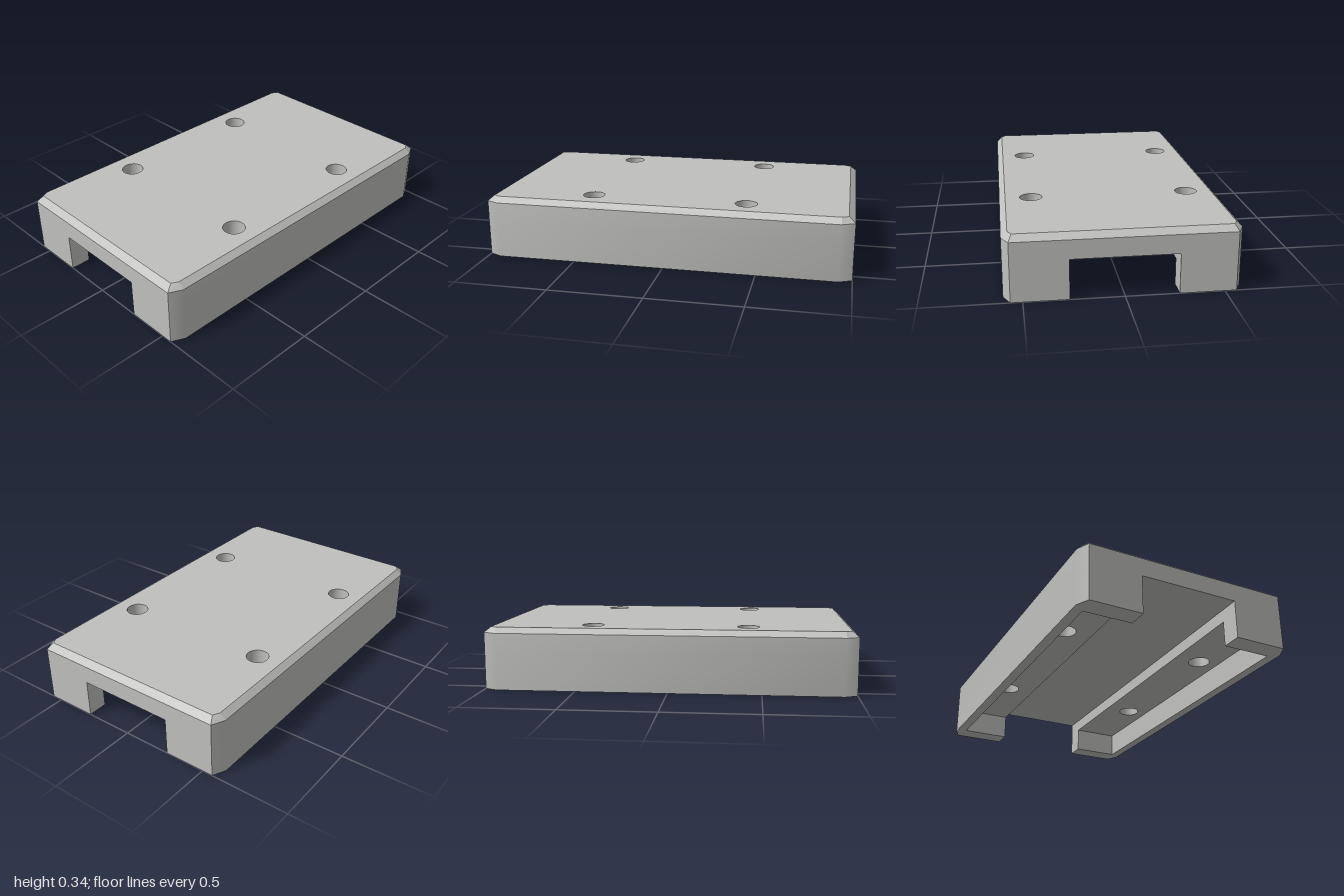
import * as THREE from 'three';
import { mergeGeometries, toCreasedNormals } from 'three/addons/utils/BufferGeometryUtils.js';

// Heights of the main levels
const POCKET = 0.14, CHANNEL = 0.21, SHOULDER = 0.31, TOP = 0.34;
const HOLE_X = 0.425, HOLE_Z = 0.425, HOLE_R = 0.06;

// Vertical (or sloped) wall along a path of [x, z] points; it faces path direction x up
function wall(path, y0, y1, upper = path) {
  const pos = [];
  for (let i = 0; i < path.length - 1; i++) {
    const a = [path[i][0], y0, path[i][1]], b = [path[i + 1][0], y0, path[i + 1][1]];
    const c = [upper[i + 1][0], y1, upper[i + 1][1]], d = [upper[i][0], y1, upper[i][1]];
    pos.push(...a, ...b, ...c, ...a, ...c, ...d);
  }
  const g = new THREE.BufferGeometry();
  g.setAttribute('position', new THREE.Float32BufferAttribute(pos, 3));
  g.computeVertexNormals();
  return g;
}

// Horizontal face from [x, z] points, facing up or down
function level(outline, y, up, holes = []) {
  const s = up ? -1 : 1;
  const pts = (list) => list.map(([x, z]) => new THREE.Vector2(x, s * z));
  const shape = new THREE.Shape(pts(outline));
  holes.forEach((h) => shape.holes.push(new THREE.Path(pts(h))));
  const g = new THREE.ShapeGeometry(shape);
  g.rotateX(s * Math.PI / 2);
  g.translate(0, y, 0);
  return g;
}

function circle(cx, cz) {
  const pts = [];
  for (let i = 0; i < 32; i++) {
    const t = (i / 32) * Math.PI * 2;
    pts.push([cx + HOLE_R * Math.cos(t), cz + HOLE_R * Math.sin(t)]);
  }
  return pts;
}

const close = (p) => [...p, p[0]];
const turn = (p) => p.map(([x, z]) => [-x, -z]);
const smooth = (list) => toCreasedNormals(mergeGeometries(list), 0.6);

export function createModel() {
  const model = new THREE.Group();
  model.name = 'mountingBlock';
  const grey = new THREE.MeshStandardMaterial({ color: 0xc0c0be });
  grey.name = 'light grey';
  const add = (parent, name, geometry) => {
    const mesh = new THREE.Mesh(geometry, grey);
    mesh.name = name;
    parent.add(mesh);
  };

  // Outer side of one rail, and the outlines with clipped corners
  const side = [[-1, 0.272], [-1, 0.56], [-0.93, 0.594], [0.93, 0.594], [1, 0.56], [1, 0.272]];
  const ring = close([...side, ...turn(side)]);
  const topSide = [[-0.965, 0.272], [-0.965, 0.543], [-0.93, 0.562],
    [0.93, 0.562], [0.965, 0.543], [0.965, 0.272]];
  const topRing = [...topSide, ...turn(topSide)];

  // Outer wall, with the channel left open at both ends
  add(model, 'outerWall', smooth([
    wall(ring, CHANNEL, SHOULDER),
    wall(side, 0, CHANNEL),
    wall(turn(side), 0, CHANNEL),
  ]));

  // Bevel and top plate with four bolt holes
  add(model, 'topBevel', wall(ring, SHOULDER, TOP, close(topRing)));
  const holes = [];
  for (const x of [-HOLE_X, HOLE_X]) for (const z of [-HOLE_Z, HOLE_Z]) holes.push(circle(x, z));
  add(model, 'topPlate', level(topRing, TOP, true, holes));
  add(model, 'boltHoles', smooth(holes.map((h) => wall(close(h), POCKET, TOP))));

  // Channel ceiling
  add(model, 'channelCeiling',
    level([[-1, -0.272], [1, -0.272], [1, 0.272], [-1, 0.272]], CHANNEL, false));

  // Rails with a pocket underneath, open towards the channel
  const pocket = [[0.89, 0.272], [0.89, 0.54], [-0.89, 0.54], [-0.89, 0.272]];
  const inner = [[1, 0.272], ...pocket, [-1, 0.272]];
  const lip = [[1, 0.272], [0.89, 0.272], [-0.89, 0.272], [-1, 0.272]];
  for (const [name, angle] of [['frontRail', 0], ['backRail', Math.PI]]) {
    const rail = new THREE.Group();
    rail.name = name;
    rail.rotation.y = angle;
    add(rail, 'innerWalls', mergeGeometries([
      wall(inner, 0, POCKET), wall(lip, POCKET, CHANNEL),
    ]));
    add(rail, 'pocketCeiling', level(pocket, POCKET, false,
      [circle(-HOLE_X, HOLE_Z), circle(HOLE_X, HOLE_Z)]));
    add(rail, 'bottomRim', level([...side, ...pocket], 0, false));
    model.add(rail);
  }
  return model;
}
